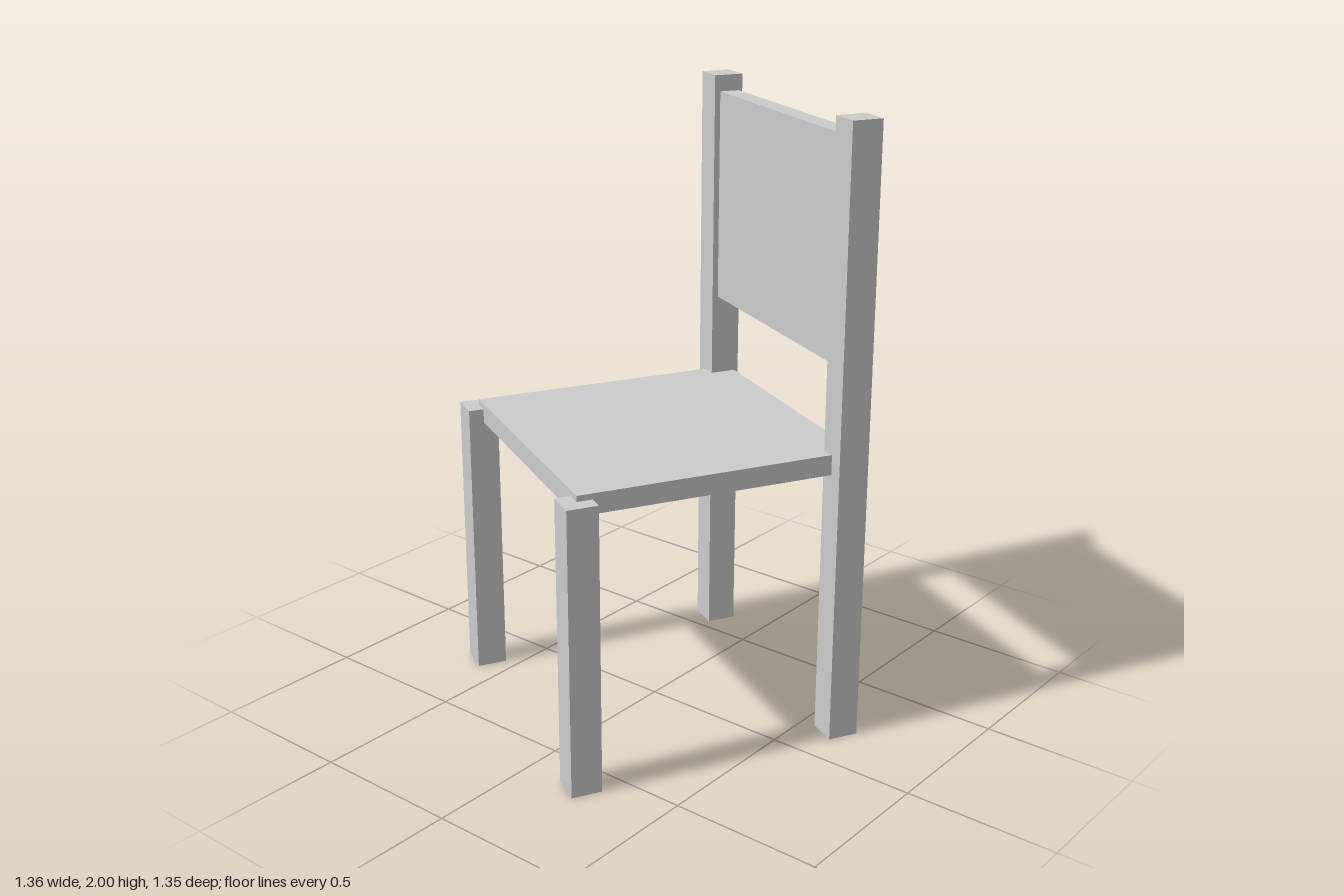
import * as THREE from 'three';

export function createModel() {
  const model = new THREE.Group();
  model.name = 'chair';
  const material = new THREE.MeshStandardMaterial({ color: 0xcccccc, flatShading: true });

  // The chair is built square to its own axes, then turned about y
  const chair = new THREE.Group();
  chair.name = 'chairFrame';
  chair.rotation.y = THREE.MathUtils.degToRad(-27.45);
  model.add(chair);

  // Box given by its lowest and highest corners
  function addBox(name, [x0, y0, z0], [x1, y1, z1]) {
    const mesh = new THREE.Mesh(new THREE.BoxGeometry(x1 - x0, y1 - y0, z1 - z0), material);
    mesh.position.set((x0 + x1) / 2, (y0 + y1) / 2, (z0 + z1) / 2);
    mesh.name = name;
    chair.add(mesh);
  }

  const halfWidth = 0.462, halfDepth = 0.4435, legHalf = 0.05, back = -0.48;

  // Short front legs and tall back posts
  for (const [side, s] of [['left', 1], ['right', -1]]) {
    for (const [kind, f, height] of [['FrontLeg', 1, 0.947], ['BackPost', -1, 2]]) {
      const x = s * halfWidth, z = f * halfDepth;
      addBox(side + kind, [x - legHalf, 0, z - legHalf], [x + legHalf, height, z + legHalf]);
    }
  }

  // Seat board reaching the leg centres
  addBox('seat', [-halfWidth, 0.9, back], [halfWidth, 0.966, halfDepth]);

  // Back panel let into the posts
  addBox('backrest', [-halfWidth, 1.241, back], [halfWidth, 1.946, -0.413]);

  return model;
}
